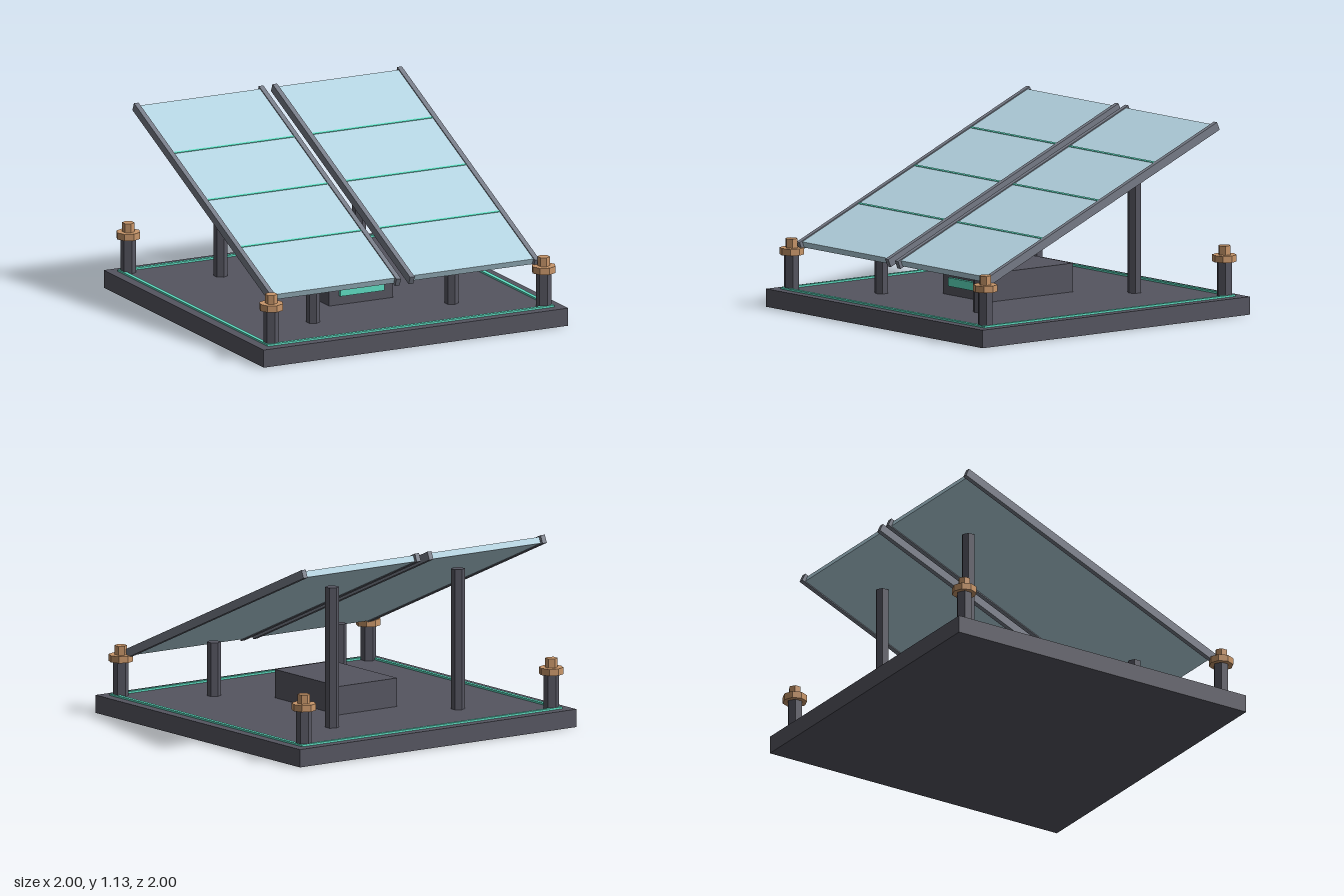
import * as THREE from 'three';

const mat = (color) => new THREE.MeshStandardMaterial({ color, flatShading: true });

export function createModel() {
  const dark = mat(0x555560), steel = mat(0x777c88), teal = mat(0x5fe0c4);
  const glass = mat(0xb5d5e2), copper = mat(0xc8966a);
  const root = new THREE.Group();
  root.name = 'solarStation';

  const add = (parent, name, geometry, material, x, y, z) => {
    const mesh = new THREE.Mesh(geometry, material);
    mesh.name = name;
    mesh.position.set(x, y, z);
    parent.add(mesh);
    return mesh;
  };
  const box = (parent, name, material, w, h, d, x, y, z) =>
    add(parent, name, new THREE.BoxGeometry(w, h, d), material, x, y, z);
  // upright prism between two heights
  const prism = (parent, name, material, r, sides, y0, y1, x, z) =>
    add(parent, name, new THREE.CylinderGeometry(r, r, y1 - y0, sides), material, x, (y0 + y1) / 2, z);

  // base slab with a glowing border
  box(root, 'base', dark, 2, 0.106, 2, 0, 0.053, 0);
  for (const s of [-1, 1]) {
    box(root, 'borderStripSide', teal, 0.024, 0.02, 1.88, s * 0.93, 0.107, 0);
    box(root, 'borderStripEnd', teal, 1.836, 0.02, 0.024, 0, 0.107, s * 0.93);
  }

  // corner posts with copper collars and caps
  for (const x of [-0.895, 0.895]) for (const z of [-0.895, 0.895]) {
    const post = new THREE.Group();
    post.name = 'cornerPost';
    post.position.set(x, 0, z);
    root.add(post);
    prism(post, 'postShaft', dark, 0.046, 6, 0.1, 0.315, 0, 0);
    prism(post, 'postCollar', copper, 0.072, 8, 0.312, 0.352, 0, 0);
    prism(post, 'postCap', copper, 0.037, 6, 0.35, 0.406, 0, 0);
  }

  // control box with a display
  box(root, 'controlBox', dark, 0.42, 0.17, 0.63, 0, 0.19, 0);
  box(root, 'display', teal, 0.29, 0.05, 0.03, 0, 0.185, 0.317);

  // two tilted panels, each on a short front and a tall rear support
  for (const side of [-1, 1]) {
    const x = side * 0.455;
    prism(root, 'frontSupport', dark, 0.041, 6, 0.1, 0.425, x, 0.58);
    prism(root, 'rearSupport', dark, 0.041, 6, 0.1, 0.938, x, -0.577);

    const panel = new THREE.Group();
    panel.name = 'solarPanel';
    panel.position.set(x, 0.735, 0);
    panel.rotation.x = 0.41;
    root.add(panel);
    box(panel, 'panelGlass', glass, 0.81, 0.038, 1.84, 0, 0, 0);
    for (const s of [-1, 1]) box(panel, 'panelRail', steel, 0.03, 0.05, 1.88, s * 0.41, 0, 0);
    for (const i of [-1, 0, 1]) box(panel, 'cellLine', teal, 0.79, 0.008, 0.012, 0, 0.019, i * 0.457);
  }
  return root;
}
